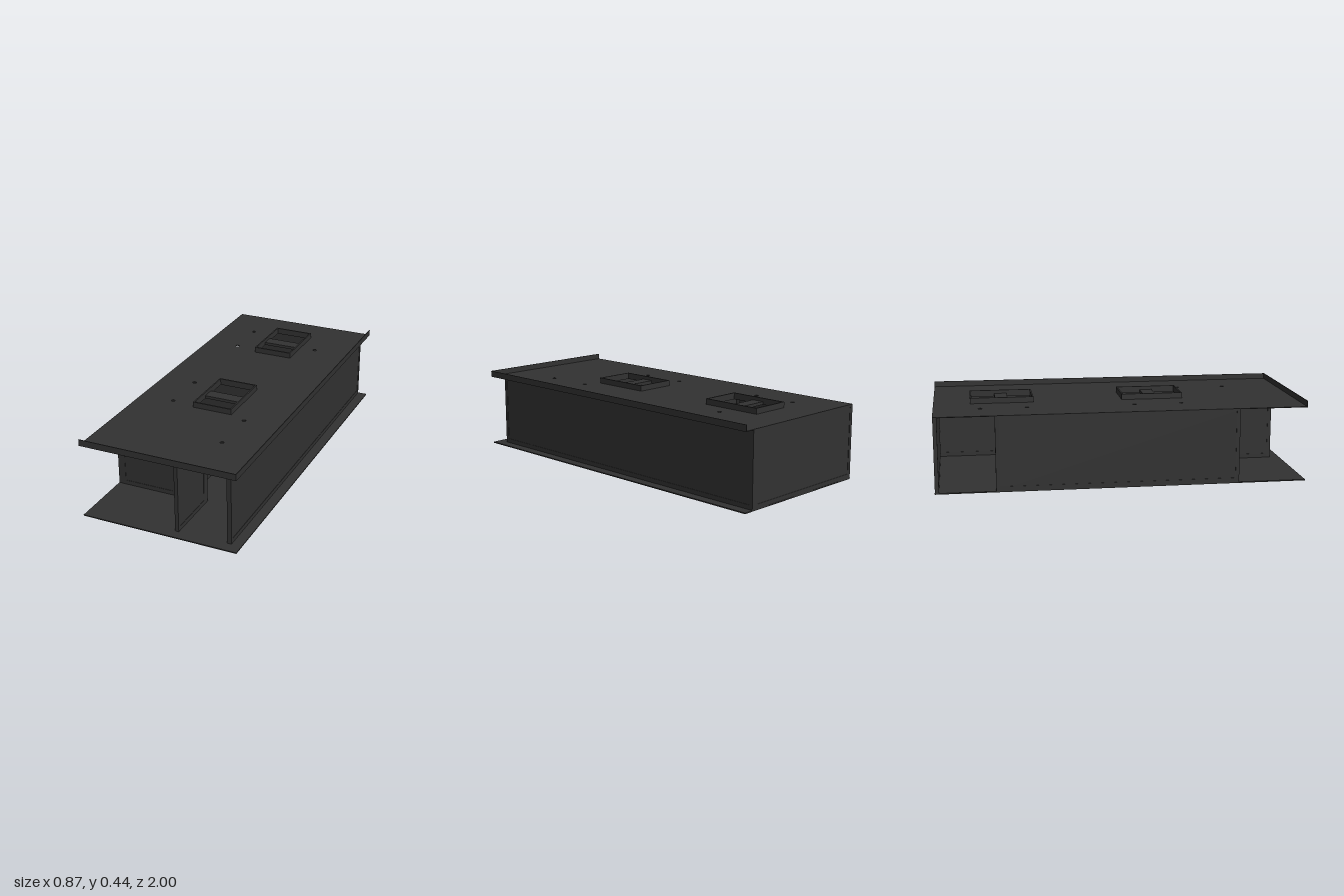
import * as THREE from 'three';

export function createModel() {
  const model = new THREE.Group();
  const steel = new THREE.MeshStandardMaterial({ color: 0x323232 });
  steel.name = 'dark steel';

  const add = (name, geometry, parent = model) => {
    const mesh = new THREE.Mesh(geometry, steel);
    mesh.name = name;
    parent.add(mesh);
    return mesh;
  };
  // Box given by its two extreme corners
  const box = (name, x0, x1, y0, y1, z0, z1, parent) => {
    const mesh = add(name, new THREE.BoxGeometry(x1 - x0, y1 - y0, z1 - z0), parent);
    mesh.position.set((x0 + x1) / 2, (y0 + y1) / 2, (z0 + z1) / 2);
    return mesh;
  };

  const W = 0.433, FLOOR = 0.006, CEIL = 0.408, ROOF = 0.412, TOP = 0.443;

  // Floor plate
  box('floorPlate', -W, W, 0, FLOOR, -1, 1);

  // Roof plate with hatch openings and small pipe holes
  const hatches = [[-0.8, -0.455], [0.035, 0.375]];
  const hx0 = -0.105, hx1 = 0.12;
  const roof = new THREE.Shape([
    new THREE.Vector2(-W, -1), new THREE.Vector2(W, -1),
    new THREE.Vector2(W, 1), new THREE.Vector2(-W, 1),
  ]);
  for (const [z0, z1] of hatches) {
    roof.holes.push(new THREE.Path([
      new THREE.Vector2(hx0, z0), new THREE.Vector2(hx0, z1),
      new THREE.Vector2(hx1, z1), new THREE.Vector2(hx1, z0),
    ]));
  }
  const portHoles = [[-0.24, -0.75], [-0.24, -0.5], [0.21, -0.63], [-0.24, 0.085],
    [-0.24, 0.345], [0.21, 0.41], [0.21, 0.68]];
  for (const [x, z] of portHoles) {
    const hole = new THREE.Path();
    hole.absarc(x, z, 0.011, 0, Math.PI * 2, true);
    roof.holes.push(hole);
  }
  const roofGeometry = new THREE.ExtrudeGeometry(roof, { depth: ROOF - CEIL, bevelEnabled: false, curveSegments: 6 });
  roofGeometry.rotateX(Math.PI / 2);
  add('roofPlate', roofGeometry).position.y = ROOF;

  // Upstanding lips on the front and left roof edges
  box('frontRoofLip', -W, W, CEIL, TOP, 0.996, 1);
  box('leftRoofLip', W - 0.004, W, CEIL, TOP, -1, 1);

  // Hatch curbs with a crossbar
  for (const [z0, z1] of hatches) {
    const hatch = new THREE.Group();
    hatch.name = 'roofHatch';
    model.add(hatch);
    const t = 0.008, mid = (z0 + z1) / 2;
    box('curbSide', hx0, hx0 + t, CEIL, TOP, z0, z1, hatch);
    box('curbSide', hx1 - t, hx1, CEIL, TOP, z0, z1, hatch);
    box('curbEnd', hx0 + t, hx1 - t, CEIL, TOP, z0, z0 + t, hatch);
    box('curbEnd', hx0 + t, hx1 - t, CEIL, TOP, z1 - t, z1, hatch);
    box('crossbar', hx0 + t, hx1 - t, CEIL, 0.424, mid - 0.035, mid + 0.035, hatch);
  }

  // Walls: a thin panel with thicker end posts and top and bottom rails
  const wall = (name, x0, x1, z0, z1) => {
    const group = new THREE.Group();
    group.name = name;
    model.add(group);
    const alongX = x1 - x0 > z1 - z0;
    const inset = 0.002, post = 0.02;
    if (alongX) {
      box('panel', x0, x1, FLOOR, CEIL, z0 + inset, z1 - inset, group);
      for (const x of [x0, x1 - post]) box('post', x, x + post, FLOOR, CEIL, z0, z1, group);
    } else {
      box('panel', x0 + inset, x1 - inset, FLOOR, CEIL, z0, z1, group);
      for (const z of [z0, z1 - post]) box('post', x0, x1, FLOOR, CEIL, z, z + post, group);
    }
    for (const [y0, y1] of [[FLOOR, 0.03], [0.398, CEIL]]) {
      box('rail', x0, x1, y0, y1, z0, z1, group);
    }
  };
  wall('leftSideWall', 0.355, 0.379, -1, 0.94);
  wall('rearWall', -W, 0.355, -0.999, -0.978);
  wall('rightSideWall', -W, -0.411, -0.68, 0.63);
  wall('frontRoomWall', -0.411, 0.09, 0.61, 0.632);
  wall('frontDivider', 0.07, 0.09, 0.632, 0.945);
  wall('innerPartition', -0.411, 0.355, -0.23, -0.21);

  // Low duct on the floor below the front hatch
  box('floorDuct', -0.062, -0.01, FLOOR, 0.1, 0.045, 0.61);

  // Sprinkler pipes under the roof of the entrance passage
  const pipe = (points) => points.slice(1).forEach((p, i) => {
    const a = new THREE.Vector3(...points[i]), b = new THREE.Vector3(...p);
    add('sprinklerPipe', new THREE.TubeGeometry(new THREE.LineCurve3(a, b), 1, 0.002, 6));
  });
  pipe([[0.09, 0.357, 0.68], [0.253, 0.357, 0.68], [0.253, CEIL, 0.68]]);
  for (const x of [0.135, 0.255]) {
    pipe([[x, 0.357, 0.68], [x, 0.345, 0.68]]);
    add('sprinklerHead', new THREE.CylinderGeometry(0.009, 0.004, 0.012, 8)).position.set(x, 0.342, 0.68);
  }
  add('ceilingFitting', new THREE.CylinderGeometry(0.012, 0.012, 0.004, 10)).position.set(0.21, 0.406, 0.68);

  return model;
}
